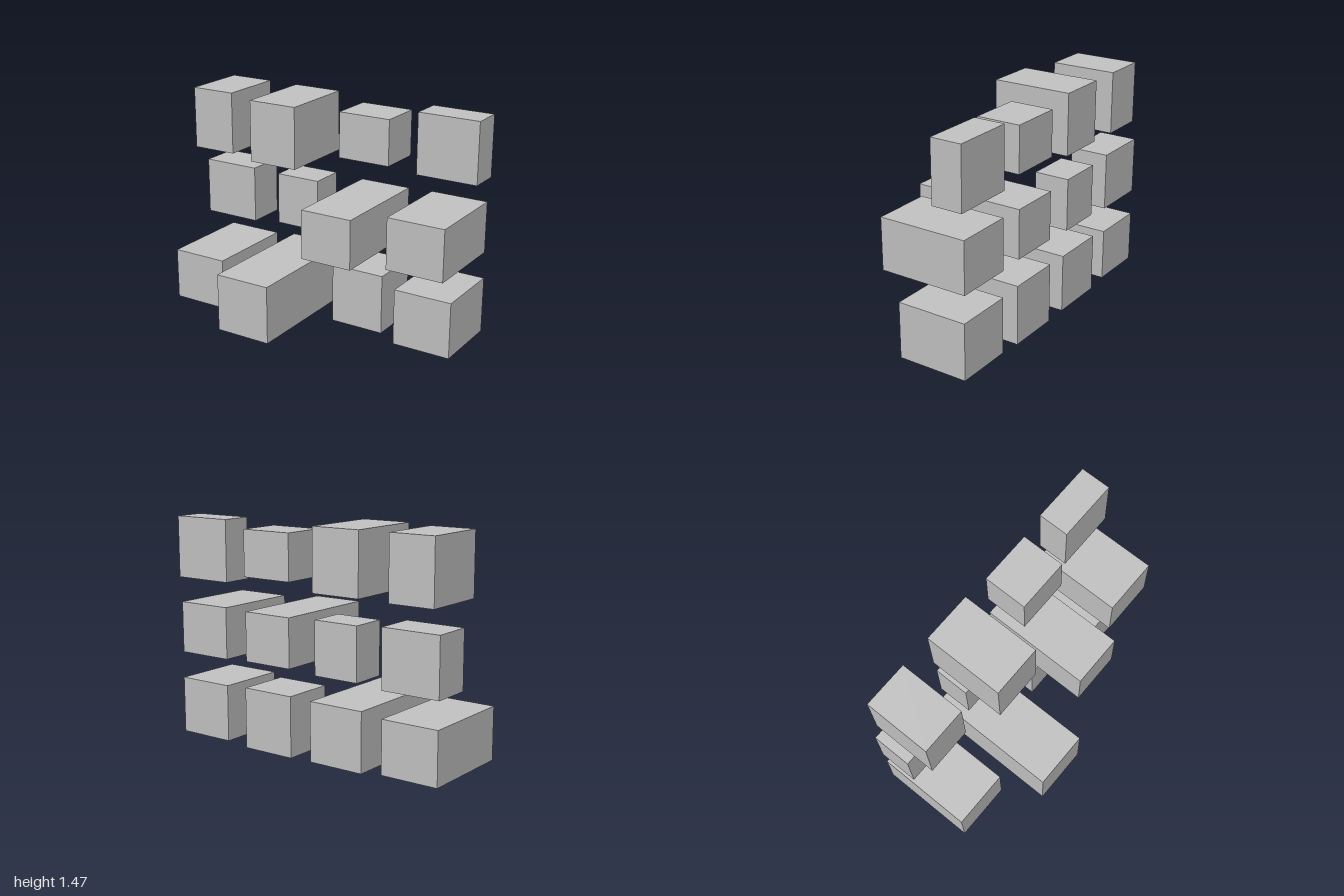
import * as THREE from 'three';

// Wall of blocks sharing one back plane, each with its own size and depth
const BACK = -0.443;

// Rows from bottom to top: [x0, x1, y0, y1, front z]
const rows = {
  lower: [
    [-0.997, -0.61, 0.028, 0.372, 0.2],
    [-0.465, -0.08, 0.006, 0.393, 0.443],
    [0.075, 0.444, 0, 0.398, -0.09],
    [0.599, 0.989, 0.017, 0.388, 0.03],
  ],
  middle: [
    [-1, -0.607, 0.543, 0.92, -0.18],
    [-0.43, -0.118, 0.559, 0.905, -0.205],
    [0.083, 0.433, 0.572, 0.894, 0.294],
    [0.599, 0.984, 0.563, 0.901, 0.146],
  ],
  upper: [
    [-0.957, -0.652, 1.06, 1.468, -0.003],
    [-0.44, -0.102, 1.064, 1.467, 0.087],
    [0.08, 0.438, 1.114, 1.414, -0.15],
    [0.588, 1, 1.064, 1.464, -0.238],
  ],
};

export function createModel() {
  const model = new THREE.Group();
  model.name = 'blockWall';
  const grey = new THREE.MeshStandardMaterial({ name: 'grey', color: 0xbfbfbf });

  for (const [rowName, blocks] of Object.entries(rows)) {
    const row = new THREE.Group();
    row.name = `${rowName}Row`;
    blocks.forEach(([x0, x1, y0, y1, front], i) => {
      const block = new THREE.Mesh(new THREE.BoxGeometry(x1 - x0, y1 - y0, front - BACK), grey);
      block.name = `${rowName}Block${i + 1}`;
      block.position.set((x0 + x1) / 2, (y0 + y1) / 2, (front + BACK) / 2);
      row.add(block);
    });
    model.add(row);
  }
  return model;
}
